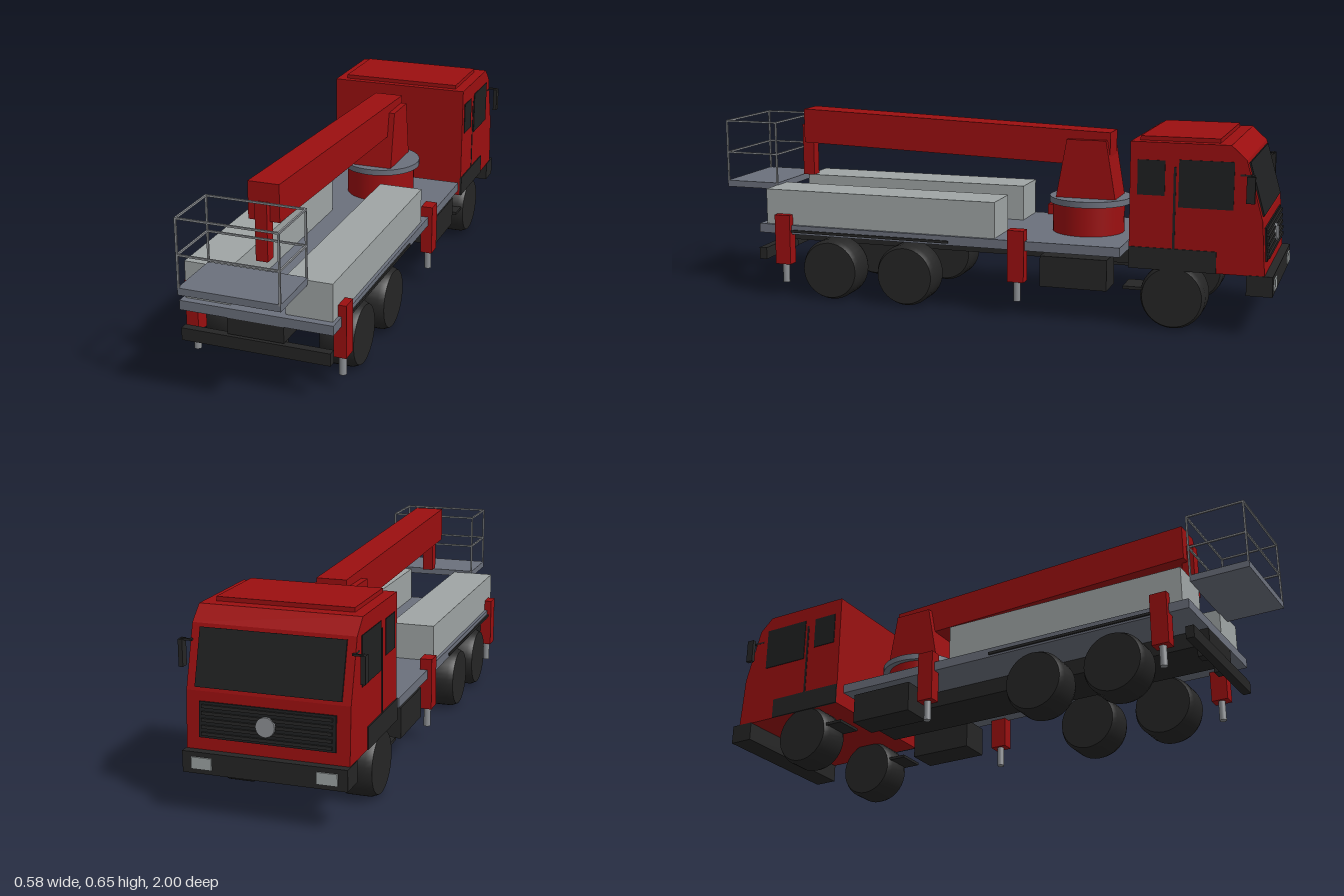
import * as THREE from 'three';
import { toCreasedNormals } from 'three/addons/utils/BufferGeometryUtils.js';

export function createModel() {
  const model = new THREE.Group();
  model.name = 'platformTruck';
  const paint = (name, color) => {
    const m = new THREE.MeshStandardMaterial({ color });
    m.name = name;
    return m;
  };
  const red = paint('redPaint', 0x9b0f10);
  const black = paint('blackPlastic', 0x252525);
  const glass = paint('darkGlass', 0x1f2021);
  const deckGrey = paint('deckGrey', 0x6b707c);
  const boxGrey = paint('lightGrey', 0x9fa5a5);
  const steel = paint('steel', 0x8b8e92);

  const add = (name, geo, mat, parent = model) => {
    const mesh = new THREE.Mesh(geo, mat);
    mesh.name = name;
    parent.add(mesh);
    return mesh;
  };
  // Box given by its limits on each axis
  const box = (name, mat, [x0, x1], [y0, y1], [z0, z1], parent = model) => {
    const mesh = add(name, new THREE.BoxGeometry(x1 - x0, y1 - y0, z1 - z0), mat, parent);
    mesh.position.set((x0 + x1) / 2, (y0 + y1) / 2, (z0 + z1) / 2);
    return mesh;
  };
  // The same box on both sides
  const pair = (name, mat, [x0, x1], y, z) => {
    box(name + 'Left', mat, [x0, x1], y, z);
    box(name + 'Right', mat, [-x1, -x0], y, z);
  };
  // Side profile of [z, y] points, extruded across the width
  const profile = (name, mat, points, width) => {
    const shape = new THREE.Shape(points.map(([z, y]) => new THREE.Vector2(z, y)));
    const geo = new THREE.ExtrudeGeometry(shape, { depth: width, bevelEnabled: false });
    geo.translate(0, 0, -width / 2).rotateY(-Math.PI / 2);
    return add(name, geo, mat);
  };
  const cylinder = (name, mat, r, [y0, y1], x, z, parent = model) => {
    const mesh = add(name, new THREE.CylinderGeometry(r, r, y1 - y0, 40), mat, parent);
    mesh.position.set(x, (y0 + y1) / 2, z);
    return mesh;
  };

  // Cab shell and roof panel
  profile('cab', red, [[-0.525, 0.2], [-0.525, 0.618], [-0.85, 0.618], [-0.9, 0.572],
    [-0.955, 0.38], [-0.967, 0.2]], 0.515);
  box('roofPanel', red, [-0.22, 0.22], [0.618, 0.632], [-0.81, -0.55]);

  // Cab sides: windows, door gap and lower trim
  pair('rearWindow', glass, [0.255, 0.26], [0.445, 0.56], [-0.64, -0.55]);
  pair('doorWindow', glass, [0.255, 0.26], [0.41, 0.565], [-0.862, -0.685]);
  pair('doorGap', glass, [0.255, 0.259], [0.27, 0.54], [-0.676, -0.668]);
  pair('lowerTrim', black, [0.254, 0.261], [0.2, 0.272], [-0.812, -0.525]);

  // Windscreen follows the slope of the upper front
  const screen = add('windscreen', new THREE.BoxGeometry(0.46, 0.178, 0.008), glass);
  screen.position.set(0, 0.476, -0.929);
  screen.rotation.x = Math.atan2(0.055, 0.192);

  // Grille with slats and a plain round boss
  const grille = new THREE.Group();
  grille.name = 'grille';
  grille.position.set(0, 0.295, -0.962);
  grille.rotation.x = Math.atan2(0.012, 0.18);
  model.add(grille);
  box('grillePanel', glass, [-0.215, 0.215], [-0.055, 0.055], [-0.004, 0.003], grille);
  for (let i = 0; i < 5; i++) {
    const y = -0.042 + i * 0.021;
    box('grilleSlat', black, [-0.205, 0.205], [y - 0.005, y + 0.005], [-0.011, -0.003], grille);
  }
  const boss = add('grilleBoss', new THREE.CylinderGeometry(0.03, 0.03, 0.009, 32), steel, grille);
  boss.rotation.x = Math.PI / 2;
  boss.position.z = -0.011;

  // Front bumper and headlights
  box('frontBumper', black, [-0.26, 0.26], [0.135, 0.202], [-0.994, -0.91]);
  pair('headlight', boxGrey, [0.165, 0.23], [0.15, 0.187], [-0.999, -0.992]);

  // Mirrors
  pair('mirrorArm', black, [0.25, 0.285], [0.521, 0.527], [-0.926, -0.918]);
  pair('mirrorBracket', black, [0.25, 0.258], [0.521, 0.527], [-0.926, -0.88]);
  pair('mirror', black, [0.278, 0.292], [0.44, 0.525], [-0.932, -0.905]);

  // Chassis, deck and underbody
  box('chassis', black, [-0.095, 0.095], [0.175, 0.23], [-0.51, 0.825]);
  box('deck', deckGrey, [-0.257, 0.257], [0.23, 0.262], [-0.495, 0.825]);
  pair('toolBox', black, [0.138, 0.25], [0.11, 0.215], [-0.45, -0.22]);
  pair('rearMudguard', black, [0.14, 0.262], [0.237, 0.246], [0.105, 0.74]);
  pair('frontMudguard', black, [0.15, 0.25], [0.124, 0.134], [-0.57, -0.505]);
  box('rearBumper', black, [-0.25, 0.25], [0.13, 0.172], [0.805, 0.833]);
  pair('rearBumperMount', black, [0.05, 0.09], [0.14, 0.2], [0.78, 0.81]);

  // Wheels
  const tyre = [[0, -0.058], [0.099, -0.058], [0.108, -0.038], [0.108, 0.038],
    [0.099, 0.058], [0, 0.058]].map(([r, y]) => new THREE.Vector2(r, y));
  const wheelGeo = toCreasedNormals(new THREE.LatheGeometry(tyre, 36).rotateZ(Math.PI / 2), 0.6);
  for (const z of [-0.67, 0.27, 0.555]) {
    for (const side of [-1, 1]) {
      add('wheel', wheelGeo, black).position.set(side * 0.199, 0.108, z);
    }
  }

  // Storage lockers along the deck
  pair('locker', boxGrey, [0.092, 0.246], [0.262, 0.387], [-0.058, 0.8]);

  // Outriggers with steel feet
  for (const z of [-0.14, 0.728]) {
    pair('outrigger', red, [0.23, 0.272], [0.122, 0.3], [z - 0.029, z + 0.029]);
    for (const side of [-1, 1]) cylinder('outriggerFoot', steel, 0.012, [0.053, 0.125], side * 0.25, z);
  }

  // Turntable and boom support
  cylinder('turntableDrum', red, 0.125, [0.262, 0.365], 0, -0.325);
  cylinder('turntableRing', deckGrey, 0.143, [0.365, 0.386], 0, -0.332);
  profile('turret', red, [[-0.225, 0.385], [-0.435, 0.385], [-0.4, 0.588], [-0.262, 0.588]], 0.146);

  // Boom and basket bracket
  profile('boom', red, [[0.74, 0.532], [0.74, 0.655], [-0.41, 0.614], [-0.41, 0.496]], 0.104);
  box('basketBracket', red, [-0.02, 0.02], [0.407, 0.594], [0.72, 0.763]);

  // Basket: floor, corner posts and two rings of rails
  const basket = new THREE.Group();
  basket.name = 'basket';
  model.add(basket);
  const w = 0.165, t = 0.003, back = 0.797, front = 1.0;
  box('basketFloor', deckGrey, [-w, w], [0.372, 0.395], [back, front], basket);
  for (const x of [-w + t, w - t]) {
    for (const z of [back + t, front - t]) {
      box('basketPost', steel, [x - t, x + t], [0.39, 0.617], [z - t, z + t], basket);
    }
  }
  for (const y of [0.499, 0.614]) {
    for (const x of [-w + t, w - t]) {
      box('sideRail', steel, [x - t, x + t], [y - t, y + t], [back, front], basket);
    }
    for (const z of [back + t, front - t]) {
      box('crossRail', steel, [-w, w], [y - t, y + t], [z - t, z + t], basket);
    }
  }
  return model;
}
